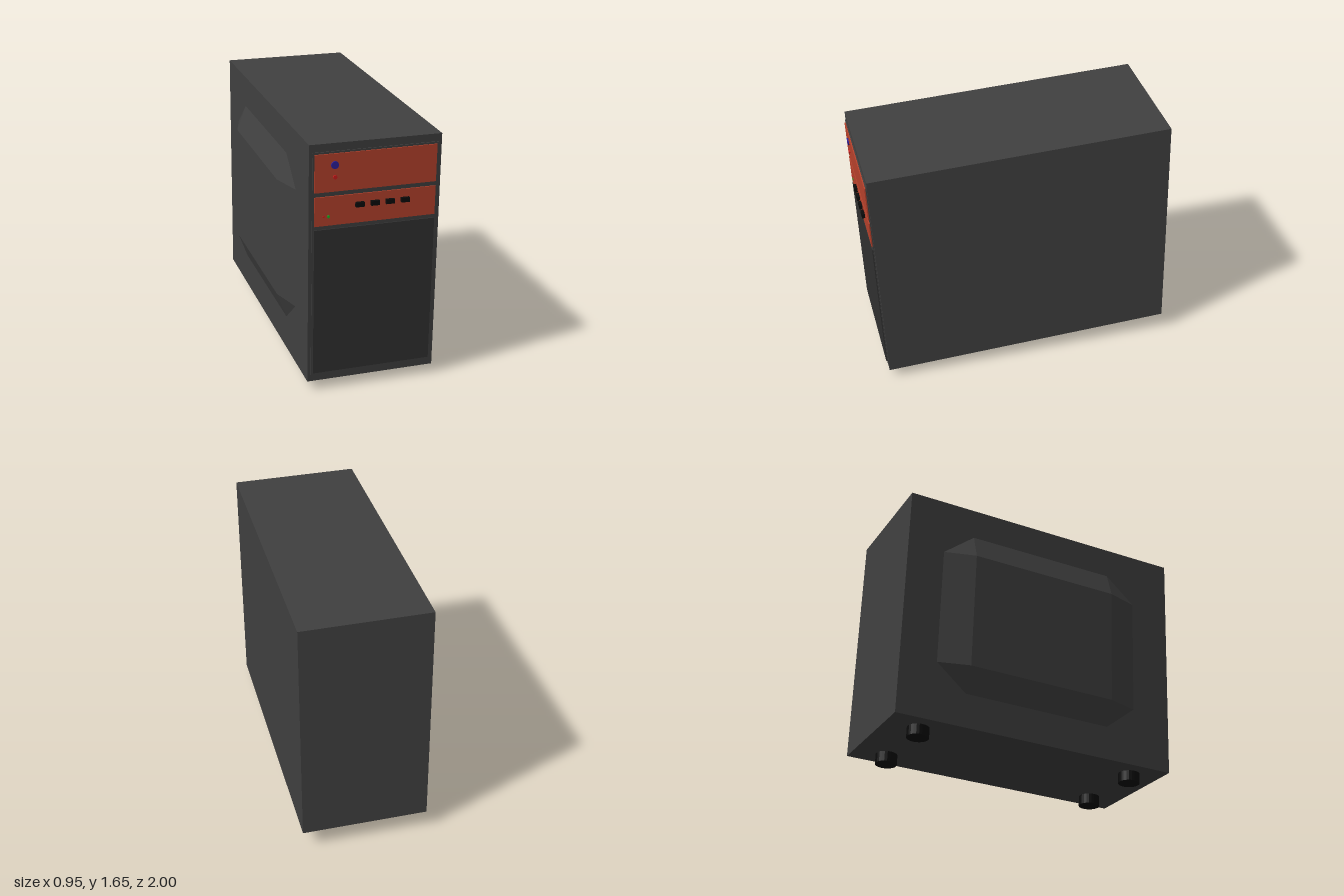
import * as THREE from 'three';
import { ConvexGeometry } from 'three/addons/geometries/ConvexGeometry.js';

const W = 0.812, H = 1.52, D = 1.895; // case size
const FRONT = D / 2;

const paint = (color) => new THREE.MeshStandardMaterial({ color, flatShading: true });
const CASE = paint(0x404040), DOOR = paint(0x313131), ORANGE = paint(0xb8422c), BLACK = paint(0x0b0b0b);

export function createModel() {
  const tower = new THREE.Group();
  tower.name = 'computerTower';

  const add = (name, geometry, material, x, y, z) => {
    const mesh = new THREE.Mesh(geometry, material);
    mesh.name = name;
    mesh.position.set(x, y, z);
    tower.add(mesh);
    return mesh;
  };
  // Plate on the front, given its vertical extent and how far it stands out
  const plate = (name, width, y0, y1, out, material) =>
    add(name, new THREE.BoxGeometry(width, y1 - y0, out + 0.01), material,
      0, (y0 + y1) / 2, FRONT + (out - 0.01) / 2);
  // Round button or light facing forward
  const button = (name, x, y, r, out, color) => {
    const g = new THREE.CylinderGeometry(r, r, out + 0.005, 20).rotateX(Math.PI / 2);
    add(name, g, paint(color), x, y, FRONT + 0.012 + (out - 0.005) / 2);
  };

  // Main case
  add('case', new THREE.BoxGeometry(W, H, D), CASE, 0, 0, 0);

  // Front bezel, drive covers and lower door
  plate('frontBezel', 0.772, -0.715, 0.712, 0.005, CASE);
  plate('upperDriveCover', 0.75, 0.468, 0.70, 0.012, ORANGE);
  plate('lowerDriveCover', 0.75, 0.26, 0.44, 0.012, ORANGE);
  plate('lowerDoor', 0.75, -0.703, 0.236, 0.012, DOOR);

  // Buttons and indicator lights
  button('powerButton', -0.254, 0.632, 0.023, 0.008, 0x2d1f9c);
  button('resetButton', -0.252, 0.558, 0.012, 0.008, 0xd01c1c);
  button('redLight', -0.319, 0.319, 0.006, 0.004, 0xd01c1c);
  button('greenLight', -0.289, 0.317, 0.009, 0.004, 0x22b422);

  // Row of four ports
  for (let i = 0; i < 4; i++) {
    add('port', new THREE.BoxGeometry(0.052, 0.028, 0.03), BLACK, -0.1 + i * 0.094, 0.377, FRONT + 0.017);
  }

  // Raised side panel: rectangular face, bevels down to a base with cut corners
  const pts = [];
  for (const sy of [-1, 1]) for (const sz of [-1, 1]) {
    pts.push(
      new THREE.Vector3(-0.061, sy * 0.385, sz * 0.495),
      new THREE.Vector3(0, sy * 0.55, sz * 0.495),
      new THREE.Vector3(0, sy * 0.385, sz * 0.695));
  }
  add('sideBulge', new ConvexGeometry(pts), CASE, -W / 2, 0.01, -0.01);

  // Feet
  for (const x of [-0.256, 0.256]) for (const z of [-0.737, 0.737]) {
    add('foot', new THREE.CylinderGeometry(0.069, 0.069, 0.075, 24), BLACK, x, -H / 2 - 0.0275, z);
  }

  // The tower stands slightly turned and tipped forward
  tower.rotation.set(THREE.MathUtils.degToRad(2), THREE.MathUtils.degToRad(3), 0, 'YXZ');
  tower.position.set(0.017, 0.853, -0.004);

  const model = new THREE.Group();
  model.name = 'model';
  model.add(tower);
  return model;
}
